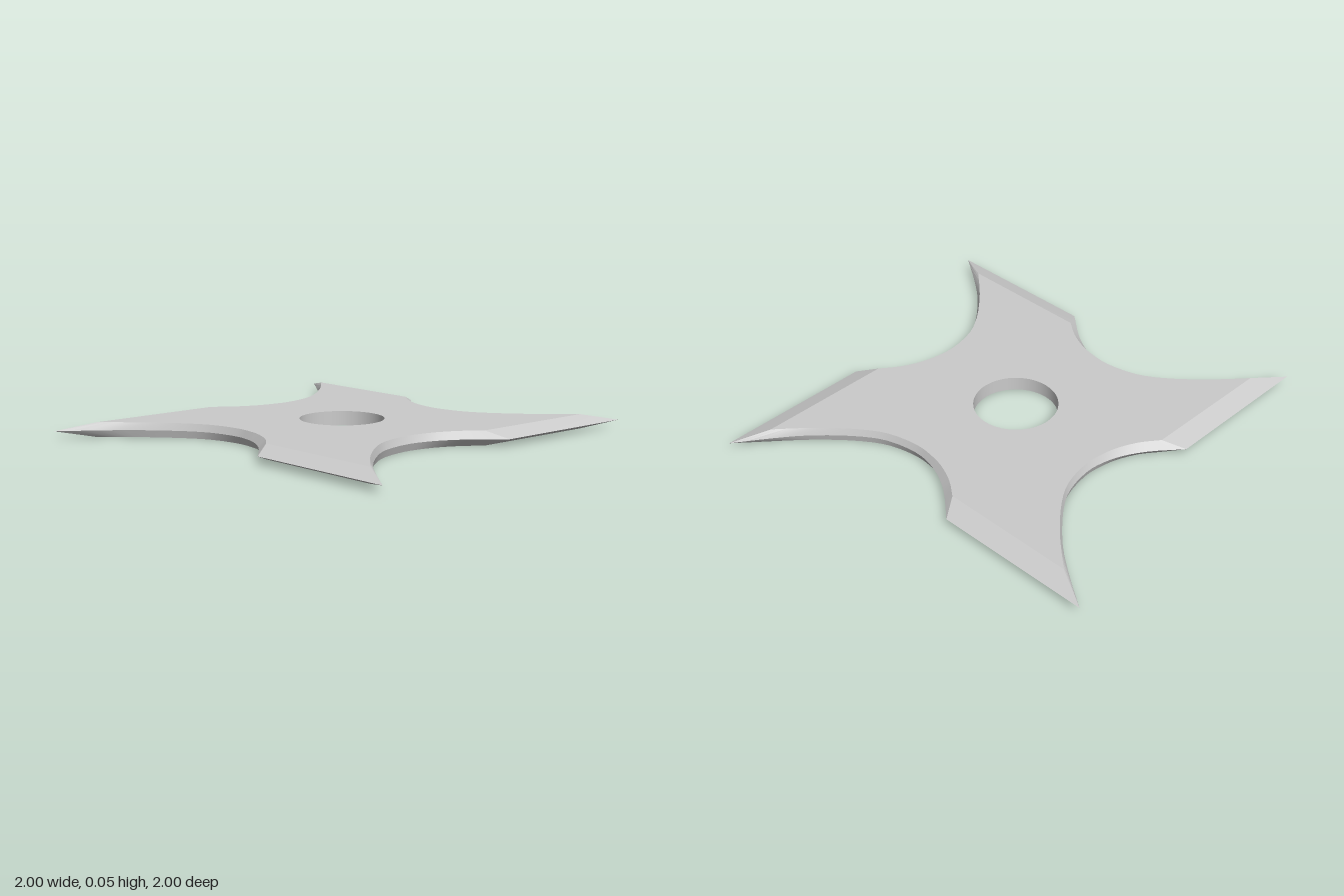
import * as THREE from 'three';
import { toCreasedNormals } from 'three/addons/utils/BufferGeometryUtils.js';

const HEIGHT = 0.052, HOLE = 0.15, ARMS = 4;

// One quarter of an outline as [x, z]: blade corner, concave curve, tip of the next arm
const EDGE = [[0.31, -0.54], [0.303, -0.4], [0.316, -0.305], [0.34, -0.24], [0.373, -0.187],
  [0.46, -0.11], [0.55, -0.072], [0.72, -0.039], [0.85, -0.035], [1, -0.04]];
const FACE = [[0.28, -0.46], [0.281, -0.38], [0.3, -0.297], [0.329, -0.235], [0.366, -0.18],
  [0.455, -0.104], [0.546, -0.066], [0.68, -0.036], [0.77, -0.025], [0.855, -0.018]];

// Smooth the quarter and repeat it around the centre
function outline(points) {
  const curve = new THREE.CatmullRomCurve3(points.map(([x, z]) => new THREE.Vector3(x, 0, z)));
  const quarter = curve.getPoints(27);
  const all = [];
  for (let arm = 0; arm < ARMS; arm++) {
    for (const p of quarter) {
      all.push(p.clone().applyAxisAngle(new THREE.Vector3(0, 1, 0), -arm * Math.PI / 2));
    }
  }
  return all;
}

// Flat face with a round hole, facing up or down
function cap(ring, up) {
  const s = up ? -1 : 1;
  const shape = new THREE.Shape(ring.map(p => new THREE.Vector2(p.x, s * p.z)));
  const hole = new THREE.Path();
  hole.absarc(0, 0, HOLE, 0, Math.PI * 2, true);
  shape.holes.push(hole);
  const geo = new THREE.ShapeGeometry(shape, 20);
  geo.rotateX(s * Math.PI / 2);
  geo.translate(0, up ? HEIGHT : 0, 0);
  return geo;
}

// Bevel band joining a lower ring to an upper ring
function band(lower, y0, upper, y1) {
  const pos = [], index = [], n = lower.length;
  for (let i = 0; i < n; i++) {
    pos.push(lower[i].x, y0, lower[i].z, upper[i].x, y1, upper[i].z);
    const a = 2 * i, b = 2 * ((i + 1) % n);
    index.push(a, a + 1, b, b, a + 1, b + 1);
  }
  const geo = new THREE.BufferGeometry();
  geo.setAttribute('position', new THREE.Float32BufferAttribute(pos, 3));
  geo.setIndex(index);
  return toCreasedNormals(geo, Math.PI / 7);
}

export function createModel() {
  const group = new THREE.Group();
  group.name = 'throwingStar';
  const steel = new THREE.MeshStandardMaterial({ color: 0xcccccc, side: THREE.DoubleSide });
  const add = (name, geo) => {
    const mesh = new THREE.Mesh(geo, steel);
    mesh.name = name;
    group.add(mesh);
    return mesh;
  };

  const edge = outline(EDGE), face = outline(FACE);
  add('topFace', cap(face, true));
  add('bottomFace', cap(face, false));

  // Sharpened edge at mid height
  add('upperBevel', band(edge, HEIGHT / 2, face, HEIGHT));
  add('lowerBevel', band(face, 0, edge, HEIGHT / 2));

  // Wall of the centre hole, facing inwards
  const wall = new THREE.LatheGeometry(
    [new THREE.Vector2(HOLE, HEIGHT), new THREE.Vector2(HOLE, 0)], 40);
  add('holeWall', wall).position.y = 0;

  return group;
}
